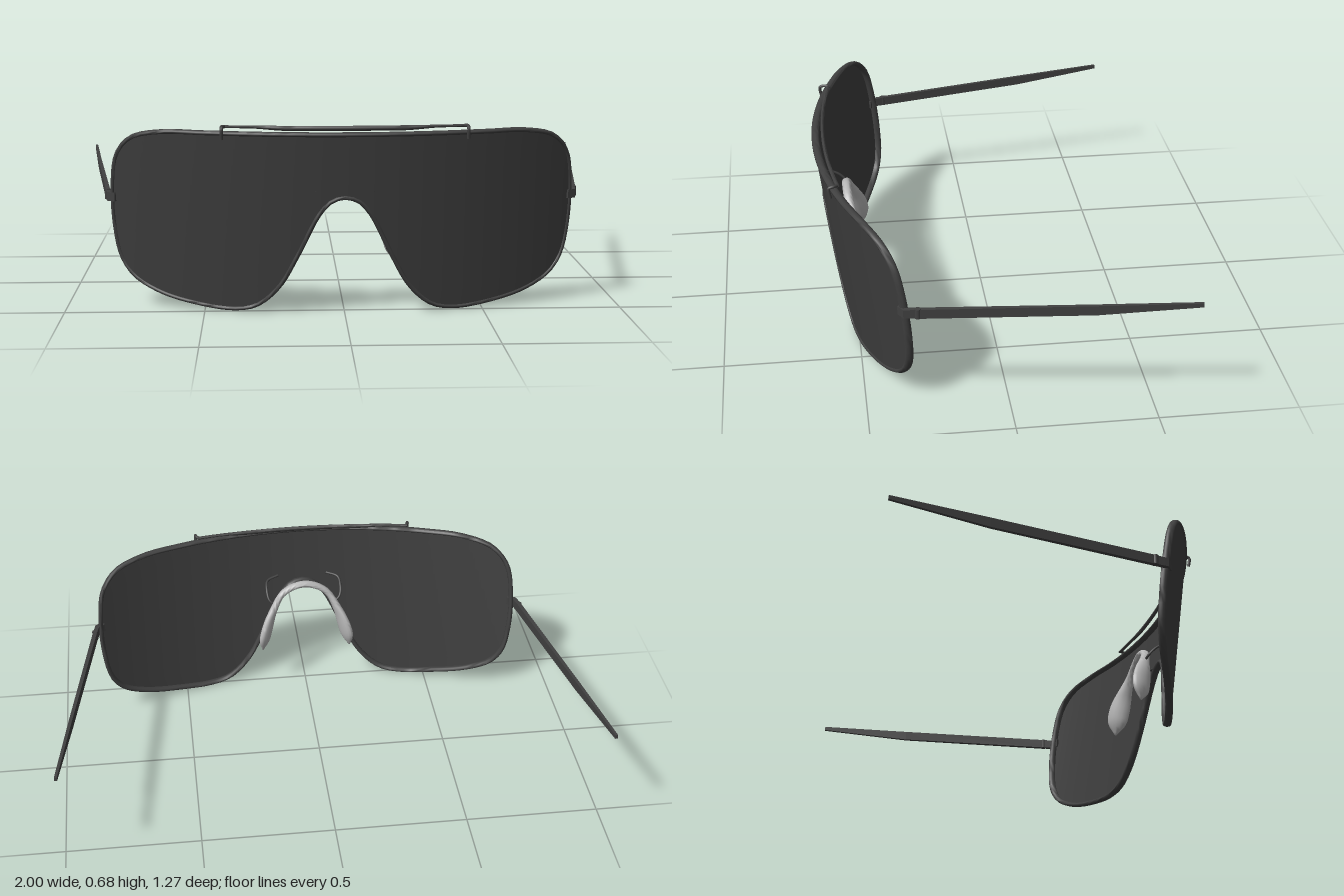
import * as THREE from 'three';
import { toCreasedNormals } from 'three/addons/utils/BufferGeometryUtils.js';

const V = (x, y, z) => new THREE.Vector3(x, y, z);
const mat = (name, color) => new THREE.MeshStandardMaterial({ name, color });
const smooth = THREE.MathUtils.smoothstep;

// Front surface of the shield: cylindrical wrap plus a backward tilt
const R = 1.64;
const shieldZ = (x, y) => 0.63 - (R - Math.sqrt(R * R - x * x)) - 0.13 * (0.65 - y);

// Skin over a row of rings; looped joins the last ring to the first, else ends are capped
function loft(rings, looped = false, crease = 0.7) {
  const n = rings[0].length, m = rings.length, pts = rings.flat(), idx = [];
  for (let i = 0; i < (looped ? m : m - 1); i++) {
    for (let j = 0; j < n; j++) {
      const k = (j + 1) % n, p = i * n, q = ((i + 1) % m) * n;
      idx.push(p + j, p + k, q + j, p + k, q + k, q + j);
    }
  }
  if (!looped) {
    const mid = (r) => r.reduce((s, p) => s.add(p), V(0, 0, 0)).divideScalar(n);
    const c = pts.length, last = (m - 1) * n;
    pts.push(mid(rings[0]), mid(rings[m - 1]));
    for (let j = 0; j < n; j++) {
      const k = (j + 1) % n;
      idx.push(c, k, j, c + 1, last + j, last + k);
    }
  }
  // Turn faces outward if the enclosed volume is negative
  let volume = 0;
  for (let i = 0; i < idx.length; i += 3) {
    volume += pts[idx[i]].dot(pts[idx[i + 1]].clone().cross(pts[idx[i + 2]]));
  }
  if (volume < 0) idx.reverse();
  const g = new THREE.BufferGeometry().setFromPoints(pts);
  g.setIndex(idx);
  return toCreasedNormals(g, crease);
}

// Elliptical ring around c with half axes a and b
function ring(c, a, b, n = 10) {
  return Array.from({ length: n }, (_, j) => {
    const t = (j / n) * Math.PI * 2;
    return c.clone().addScaledVector(a, Math.cos(t)).addScaledVector(b, Math.sin(t));
  });
}

export function createModel() {
  const model = new THREE.Group();
  model.name = 'shieldSunglasses';
  const lensMat = mat('smokedLens', 0x3e3e3e);
  lensMat.side = THREE.DoubleSide;
  const frameMat = mat('darkFrame', 0x404040);
  const padMat = mat('paleSilicone', 0xb8b8b8);
  const add = (name, geometry, material, parent = model) => {
    const mesh = new THREE.Mesh(geometry, material);
    mesh.name = name;
    parent.add(mesh);
    return mesh;
  };
  const tube = (pts, r) =>
    new THREE.TubeGeometry(new THREE.CatmullRomCurve3(pts), 24, r, 8);

  // Outline of the shield, half drawn and mirrored
  const half = [
    [0, 0.65], [0.3, 0.65], [0.5, 0.65], [0.645, 0.648], [0.755, 0.622], [0.81, 0.56],
    [0.83, 0.444], [0.826, 0.284], [0.802, 0.17], [0.755, 0.105], [0.66, 0.054],
    [0.527, 0.022], [0.393, 0.009], [0.313, 0.026], [0.235, 0.095], [0.165, 0.218],
    [0.092, 0.364], [0.048, 0.412], [0, 0.426],
  ];
  const all = [...half, ...half.slice(1, -1).reverse().map(([x, y]) => [-x, y])];
  const curve = new THREE.CatmullRomCurve3(all.map(([x, y]) => V(x, y, 0)), true);
  curve.arcLengthDivisions = 1500;
  const N = 160, H = N / 2, Q = N / 4;
  const edge = curve.getSpacedPoints(N).slice(0, N);

  // Lens: columns running from the upper edge to the lower edge
  const rows = 10, pos = [], idx = [];
  for (let k = -Q; k <= Q; k++) {
    const top = edge[(N + k) % N], bottom = edge[H - k];
    for (let r = 0; r <= rows; r++) {
      const p = top.clone().lerp(bottom, r / rows);
      pos.push(V(p.x, p.y, shieldZ(p.x, p.y)));
      if (k < Q && r < rows) {
        const a = (k + Q) * (rows + 1) + r, b = a + rows + 1;
        idx.push(a, a + 1, b, a + 1, b + 1, b);
      }
    }
  }
  const lens = new THREE.BufferGeometry().setFromPoints(pos);
  lens.setIndex(idx);
  lens.computeVertexNormals();
  add('lens', lens, lensMat);

  // Rim: thin band following the outline, deeper than it is wide
  add('rim', loft(edge.map((p, i) => {
    const t = edge[(i + 1) % N].clone().sub(edge[(i + N - 1) % N]).normalize();
    const c = V(p.x, p.y, shieldZ(p.x, p.y) - 0.009);
    return ring(c, V(-t.y, t.x, 0).multiplyScalar(0.009), V(0, 0, 0.015));
  }), true, 1.2), frameMat);

  // Brow bar: arched rod, thicker in the middle, level along its top
  const brow = new THREE.Group();
  brow.name = 'browBar';
  model.add(brow);
  add('bar', loft(Array.from({ length: 41 }, (_, i) => {
    const x = -0.425 + (0.85 * i) / 40;
    const h = 0.005 + 0.004 * (1 - smooth(Math.abs(x), 0.2, 0.34));
    return ring(V(x, 0.678 - h, 0.593 - 0.2 * x * x), V(0, h, 0), V(0, 0, 0.007));
  })), frameMat, brow);

  // Nose piece: one soft strip, slim at the bridge and broad at the pads
  const nosePath = new THREE.CatmullRomCurve3([
    V(-0.18, 0.18, 0.455), V(-0.163, 0.26, 0.465), V(-0.135, 0.34, 0.485),
    V(-0.085, 0.42, 0.508), V(0, 0.452, 0.513), V(0.085, 0.42, 0.508),
    V(0.135, 0.34, 0.485), V(0.163, 0.26, 0.465), V(0.18, 0.18, 0.455),
  ]);
  const M = 64;
  add('nosePads', loft(Array.from({ length: M + 1 }, (_, i) => {
    const u = i / M, s = Math.abs(2 * u - 1);
    const c = nosePath.getPointAt(u), t = nosePath.getTangentAt(u);
    const wide = V(c.x * 3.5, 0, -1);
    wide.addScaledVector(t, -wide.dot(t)).normalize();
    const thin = wide.clone().cross(t).normalize();
    const tip = Math.sqrt(Math.max(0.01, 1 - Math.pow(smooth(s, 0.75, 1.0001) * 0.999, 2)));
    const grow = smooth(s, 0.3, 0.75);
    return ring(c, thin.multiplyScalar((0.013 + 0.006 * grow) * tip),
      wide.multiplyScalar((0.017 + 0.025 * grow) * tip), 14);
  }), false, 1.3), padMat);

  for (const [side, s] of [['left', 1], ['right', -1]]) {
    // Hook clipping the brow bar over the top of the lens
    add(side + 'BrowHook', tube([
      V(s * 0.42, 0.673, 0.557), V(s * 0.43, 0.674, 0.572),
      V(s * 0.431, 0.668, 0.588), V(s * 0.431, 0.63, 0.584),
    ], 0.006), frameMat, brow);

    // Bent wire holding the nose piece
    add(side + 'NoseWire', tube([
      V(s * 0.1, 0.45, 0.597), V(s * 0.145, 0.44, 0.575),
      V(s * 0.152, 0.42, 0.535), V(s * 0.145, 0.39, 0.505), V(s * 0.122, 0.37, 0.493),
    ], 0.005), frameMat);

    // Temple: flat bar with a short elbow at the rim, tapering to the tip
    const temple = new THREE.Group();
    temple.name = side + 'Temple';
    model.add(temple);
    // x, z, lower y, upper y, half thickness
    const stations = [
      [0.82, 0.378, 0.382, 0.414, 0.008], [0.845, 0.363, 0.382, 0.414, 0.009],
      [0.855, 0.31, 0.382, 0.417, 0.008], [0.944, -0.28, 0.405, 0.441, 0.006],
      [0.994, -0.63, 0.44, 0.455, 0.005],
    ];
    add('arm', loft(stations.map(([x, z, lo, hi, h], i) => {
      const a = stations[Math.max(0, i - 1)], b = stations[Math.min(4, i + 1)];
      const n = V(a[1] - b[1], 0, b[0] - a[0]).normalize().multiplyScalar(h);
      return [[1, lo], [1, hi], [-1, hi], [-1, lo]].map(([k, y]) =>
        V(s * (x + k * n.x), y, z + k * n.z));
    }), false, 0.5), frameMat, temple);
    const hinge = add('hinge', new THREE.CylinderGeometry(0.011, 0.011, 0.036, 12), frameMat, temple);
    hinge.position.set(s * 0.855, 0.4, 0.318);
  }
  return model;
}
